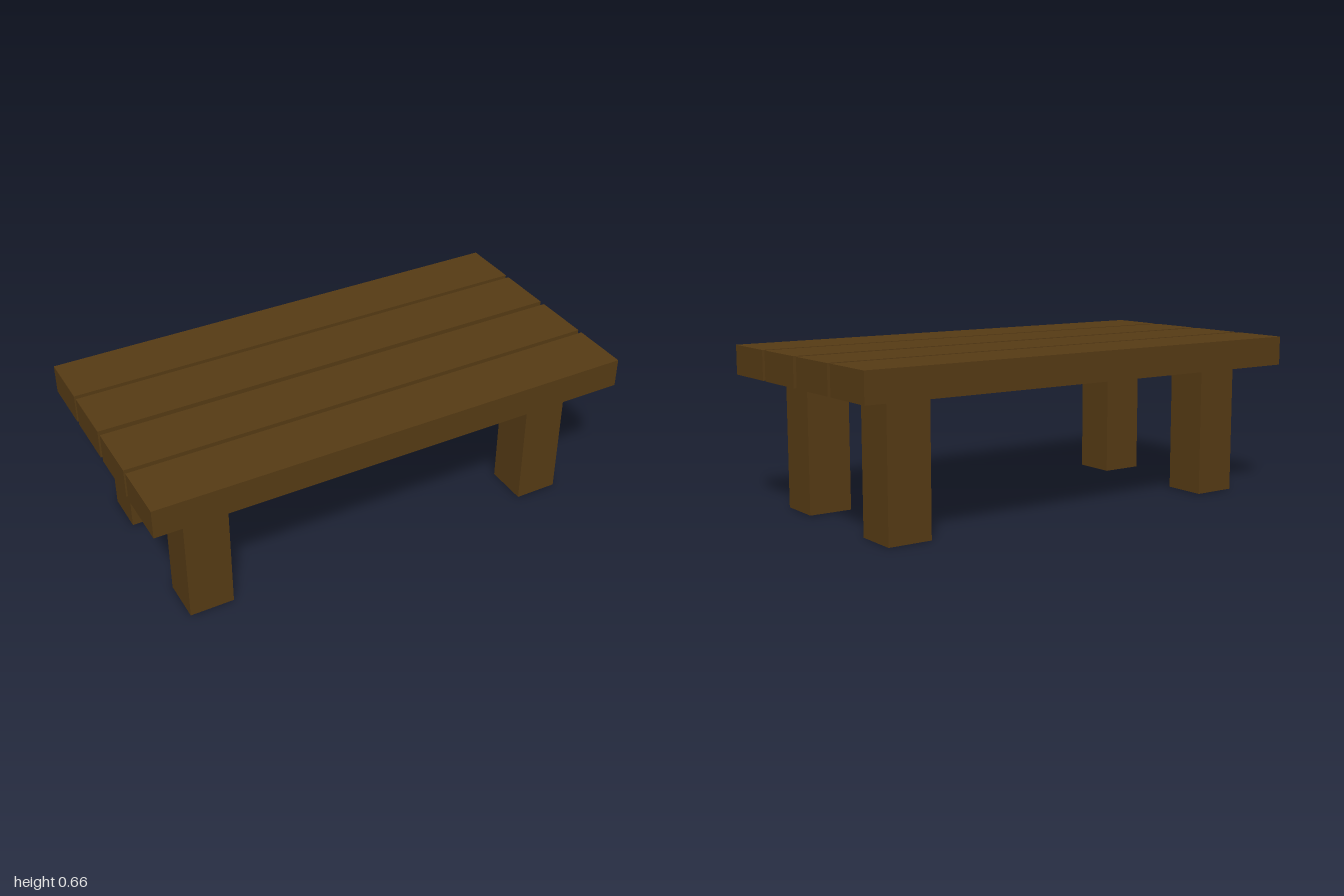
import * as THREE from 'three';

export function createModel() {
  const group = new THREE.Group();
  const wood = new THREE.MeshStandardMaterial({ color: 0x553a14 });

  const addBox = (name, size, position) => {
    const mesh = new THREE.Mesh(new THREE.BoxGeometry(...size), wood);
    mesh.name = name;
    mesh.position.set(...position);
    group.add(mesh);
  };

  // Four tabletop planks with narrow gaps between them
  [-0.395, -0.133, 0.133, 0.395].forEach((z, i) =>
    addBox(`plank${i + 1}`, [2, 0.119, 0.241], [0, 0.599, z]));

  // Four square legs, let into the planks
  const legHeight = 0.605;
  for (const [side, x] of [['Right', -0.757], ['Left', 0.755]]) {
    for (const [end, z] of [['front', 0.304], ['back', -0.303]]) {
      addBox(`${end}${side}Leg`, [0.181, legHeight, 0.181], [x, legHeight / 2, z]);
    }
  }
  return group;
}
